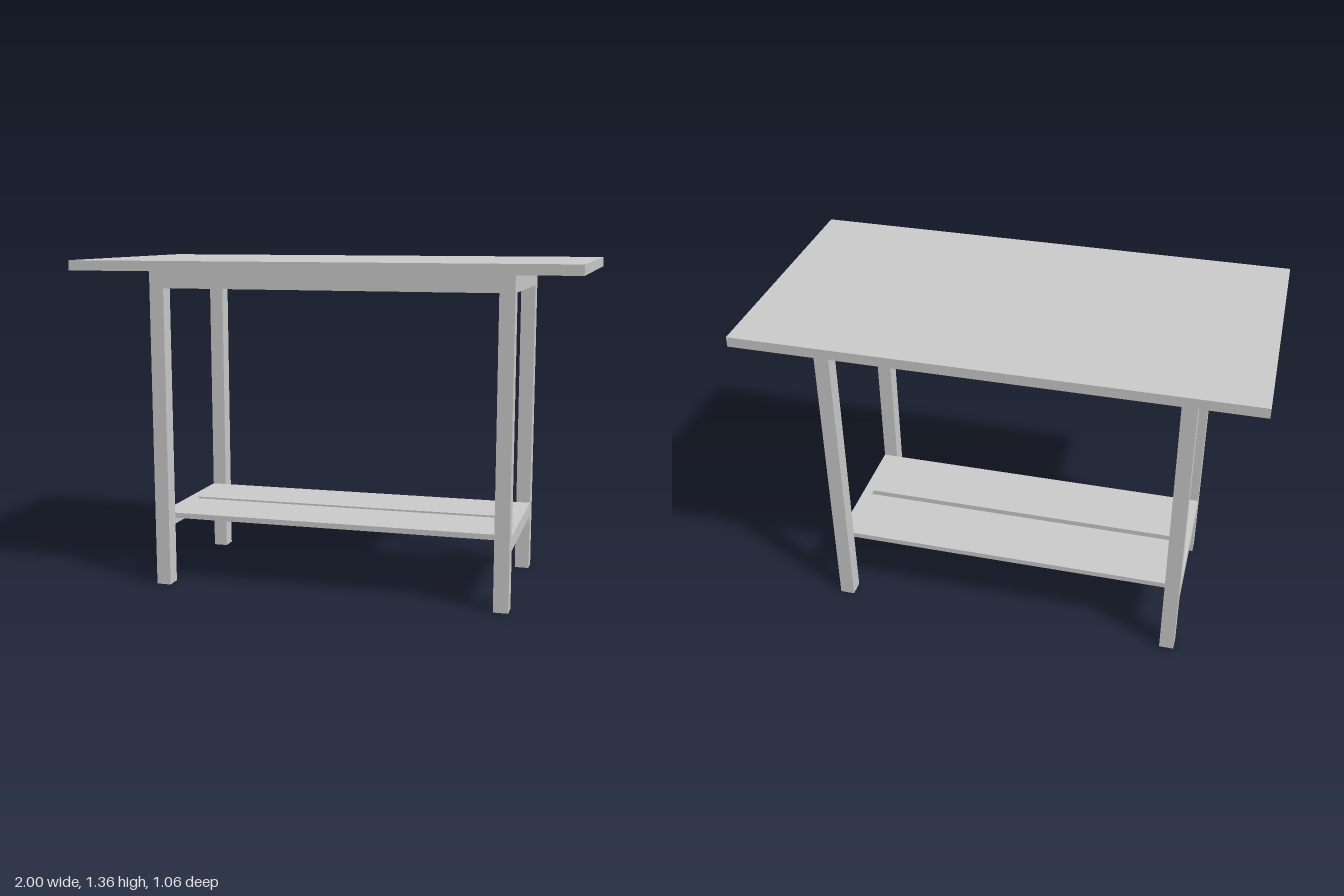
import * as THREE from 'three';

export function createModel() {
  const group = new THREE.Group();
  const material = new THREE.MeshStandardMaterial({ color: 0xcccccc, flatShading: true });

  // Box given by its limits on each axis
  const board = (name, [x0, x1], [y0, y1], [z0, z1], parent = group) => {
    const mesh = new THREE.Mesh(new THREE.BoxGeometry(x1 - x0, y1 - y0, z1 - z0), material);
    mesh.name = name;
    mesh.position.set((x0 + x1) / 2, (y0 + y1) / 2, (z0 + z1) / 2);
    parent.add(mesh);
  };

  board('tableTop', [-1, 1], [1.315, 1.355], [-0.533, 0.53]);

  // The frame sits slightly off the centre of the top
  const frame = new THREE.Group();
  frame.name = 'frame';
  frame.position.set(-0.005, 0, -0.015);
  group.add(frame);

  const outX = 0.74, inX = 0.68, outZ = 0.355, inZ = 0.29, thick = 0.04;
  const span = (side, a, b) => (side > 0 ? [a, b] : [-b, -a]);

  for (const [sx, side] of [[1, 'left'], [-1, 'right']]) {
    for (const [sz, end] of [[1, 'Front'], [-1, 'Back']]) {
      board(`${side}${end}Leg`, span(sx, inX, outX), [0, 1.315], span(sz, inZ, outZ), frame);
    }
    // Cross rails, flush with the outside of the legs
    board(`${side}Apron`, span(sx, outX - thick, outX), [1.24, 1.315], [-inZ, inZ], frame);
    board(`${side}Stretcher`, span(sx, outX - thick, outX), [0.235, 0.295], [-inZ, inZ], frame);
  }

  // Long rails and the two shelf boards
  for (const [sz, end] of [[1, 'front'], [-1, 'back']]) {
    board(`${end}Apron`, [-inX, inX], [1.24, 1.315], span(sz, outZ - thick, outZ), frame);
    board(`${end}ShelfBoard`, [-0.7, 0.7], [0.273, 0.295], span(sz, 0.015, inZ), frame);
  }

  // Beam carrying the shelf along its middle
  board('shelfBeam', [-0.7, 0.7], [0.235, 0.273], [-0.02, 0.02], frame);

  return group;
}
